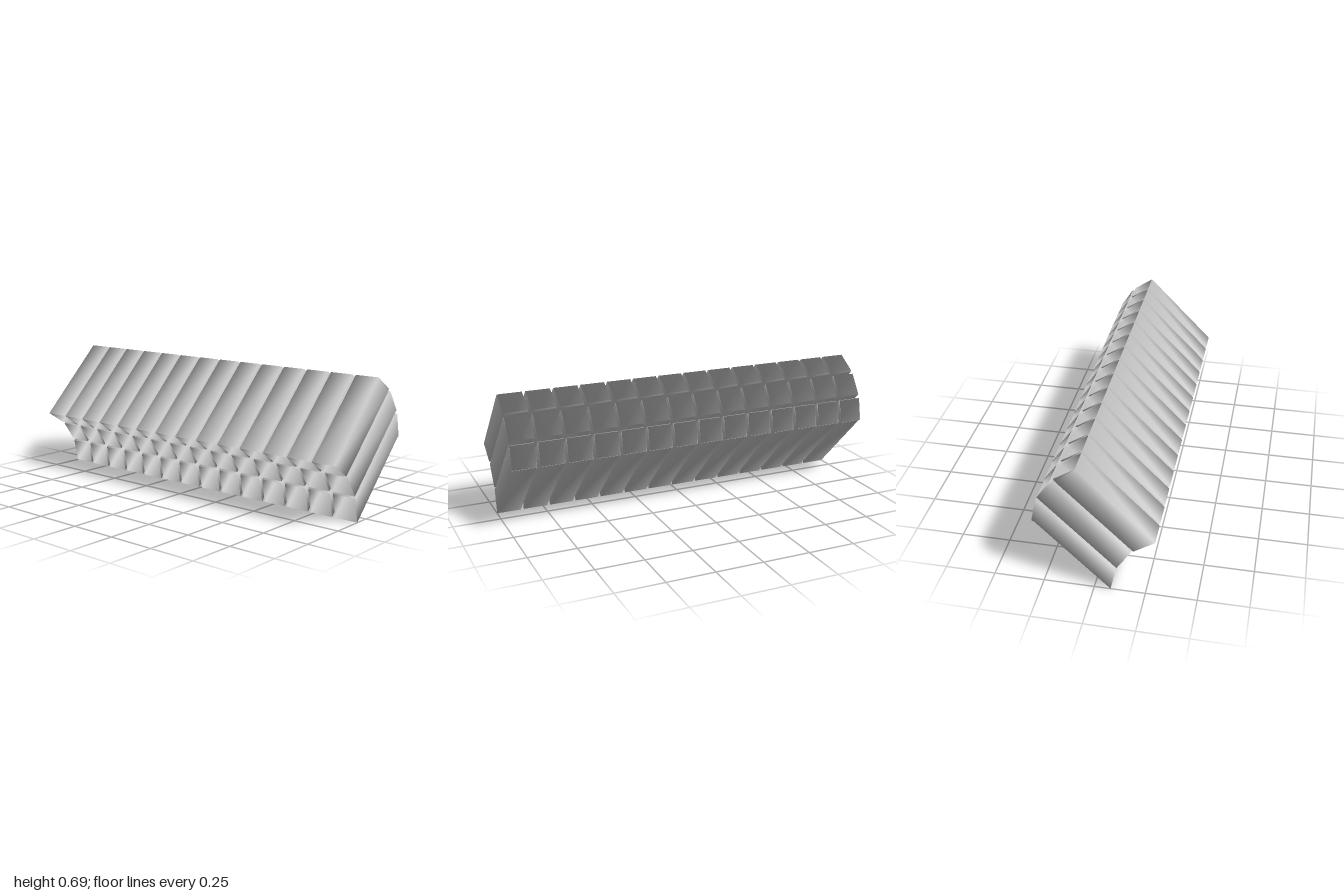
import * as THREE from 'three';

const COUNT = 14, WIDTH = 0.127;

// Side profile of each row: [upper, lower] points at the foot, shoulder and tip
const ROWS = {
  upperTube: [[[-0.294, 0.322], [-0.191, 0.253]], [[0.073, 0.692], [0.17, 0.611]], [[0.074, 0.692], [0.177, 0.624]]],
  middleTube: [[[-0.179, 0.243], [-0.11, 0.138]], [[0.18, 0.604], [0.259, 0.505]], [[0.193, 0.609], [0.261, 0.506]]],
  lowerTube: [[[-0.104, 0.125], [-0.08, 0]], [[0.256, 0.484], [0.281, 0.362]], [[0.269, 0.486], [0.293, 0.365]]],
};

// Four-cornered section across the tube
function ring([up, lo]) {
  const h = WIDTH / 2;
  return [[...up, h], [...up, -h], [...lo, -h], [...lo, h]];
}

// Open-ended skin through a row of sections, softly shaded
function tubeGeometry(profile) {
  const index = [];
  for (let r = 0; r < profile.length - 1; r++) {
    for (let i = 0; i < 4; i++) {
      const a = r * 4 + i, b = r * 4 + ((i + 1) % 4);
      index.push(a, a + 4, b, a + 4, b + 4, b);
    }
  }
  const g = new THREE.BufferGeometry();
  g.setAttribute('position', new THREE.Float32BufferAttribute(profile.flatMap(ring).flat(), 3));
  g.setIndex(index);
  g.computeVertexNormals();
  return g;
}

export function createModel() {
  const model = new THREE.Group();
  model.name = 'slantedTubeArray';
  const material = new THREE.MeshStandardMaterial({ color: 0xcccccc, side: THREE.DoubleSide });

  for (const [name, profile] of Object.entries(ROWS)) {
    const geometry = tubeGeometry(profile);
    // Repeat the tube along the depth
    for (let i = 0; i < COUNT; i++) {
      const tube = new THREE.Mesh(geometry, material);
      tube.name = name;
      tube.position.z = (1 - WIDTH / 2) * (1 - (2 * i) / (COUNT - 1));
      model.add(tube);
    }
  }
  return model;
}
